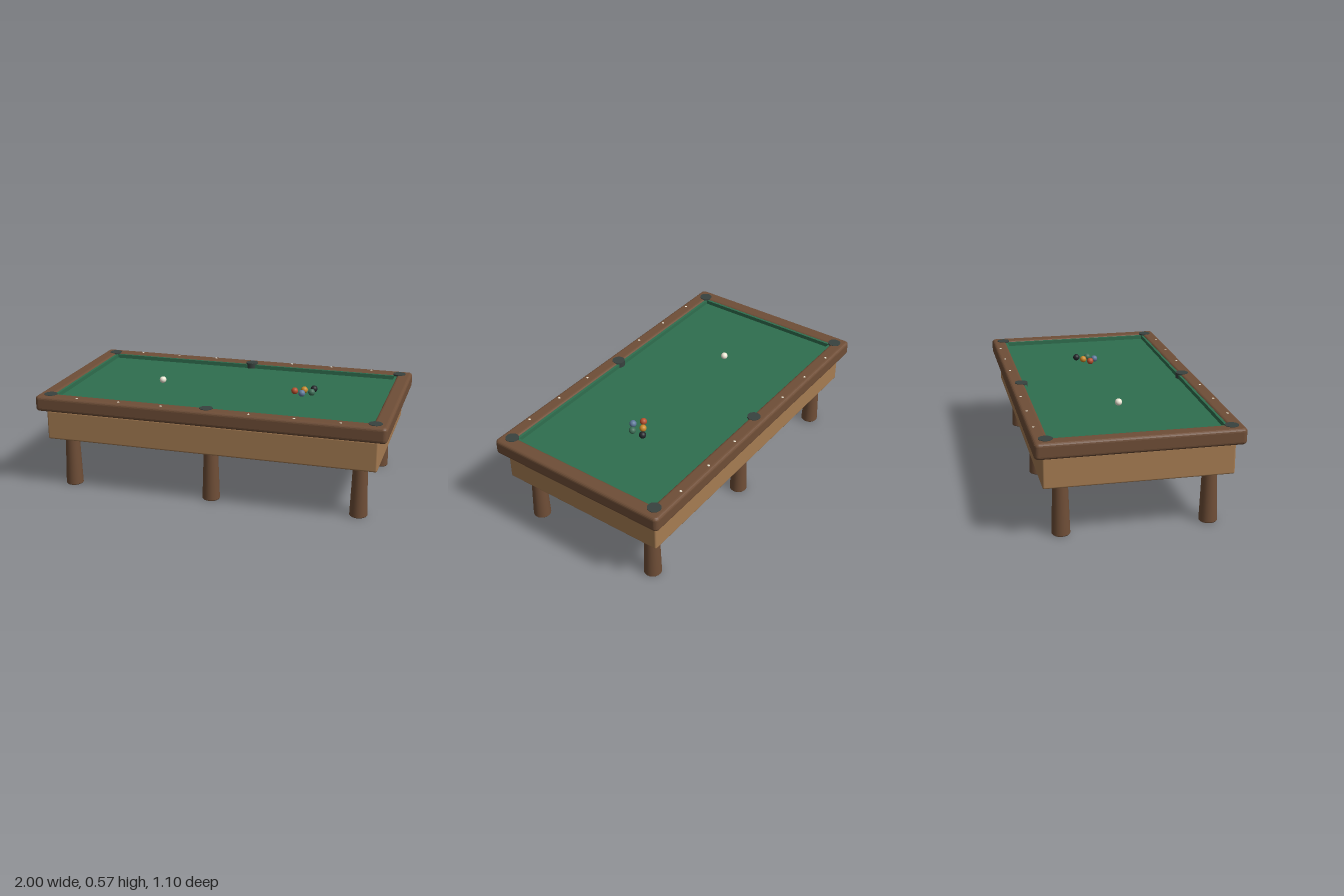
import * as THREE from 'three';
import { RoundedBoxGeometry } from 'three/addons/geometries/RoundedBoxGeometry.js';

const mat = (color) => new THREE.MeshStandardMaterial({ color });

// Rounded rectangle outline with half sizes w and h
function roundedRect(path, w, h, r) {
  path.absarc(w - r, h - r, r, 0, Math.PI / 2);
  path.absarc(-w + r, h - r, r, Math.PI / 2, Math.PI);
  path.absarc(-w + r, -h + r, r, Math.PI, Math.PI * 1.5);
  path.absarc(w - r, -h + r, r, Math.PI * 1.5, Math.PI * 2);
  path.closePath();
  return path;
}

export function createModel() {
  const table = new THREE.Group();
  table.name = 'poolTable';
  const darkWood = mat(0x6f4e37), lightWood = mat(0xa67c52), felt = mat(0x2f6f4f);
  const pocketMat = mat(0x38423f), ivory = mat(0xf0ead8);

  function add(name, geometry, material, x, y, z) {
    const mesh = new THREE.Mesh(geometry, material);
    mesh.name = name;
    mesh.position.set(x, y, z);
    table.add(mesh);
    return mesh;
  }

  // Cabinet under the playing surface
  add('cabinet', new RoundedBoxGeometry(1.9, 0.17, 1.01, 3, 0.01), lightWood, 0, 0.385, 0);

  // Cloth-covered bed
  add('bed', new THREE.BoxGeometry(1.83, 0.067, 0.94), felt, 0, 0.5015, 0);

  // Wooden rail frame with softened edges
  const bevel = 0.018;
  const outline = roundedRect(new THREE.Shape(), 1 - bevel, 0.55 - bevel, 0.008);
  const hx = 0.907 + 0.006, hz = 0.46 + 0.006;
  outline.holes.push(new THREE.Path([
    [-hx - bevel, -hz - bevel], [-hx - bevel, hz + bevel],
    [hx + bevel, hz + bevel], [hx + bevel, -hz - bevel],
  ].map(([x, y]) => new THREE.Vector2(x, y))));
  const frame = new THREE.ExtrudeGeometry(outline, {
    depth: 0.088 - 2 * bevel, bevelEnabled: true, bevelSize: bevel,
    bevelThickness: bevel, bevelSegments: 4, curveSegments: 5,
  });
  frame.rotateX(-Math.PI / 2);
  add('railFrame', frame, darkWood, 0, 0.477 + bevel, 0);

  // Cushions lining the inner faces of the rails
  for (const s of [-1, 1]) {
    add('longCushion', new THREE.BoxGeometry(1.83, 0.055, 0.018), felt, 0, 0.531, s * 0.465);
    add('endCushion', new THREE.BoxGeometry(0.018, 0.055, 0.93), felt, s * 0.912, 0.531, 0);
  }

  const legGeo = new THREE.LatheGeometry([
    [0, 0], [0.046, 0], [0.046, 0], [0.05, 0.005], [0.05, 0.005], [0.04, 0.305],
  ].map(([r, y]) => new THREE.Vector2(r, y)), 24);
  const pocketGeo = new THREE.CylinderGeometry(0.037, 0.037, 0.037, 24);
  const sightGeo = new THREE.CylinderGeometry(0.007, 0.007, 0.004, 12);

  // Legs, pockets and sight markers along both long sides
  for (const s of [-1, 1]) {
    for (const k of [-1, 0, 1]) {
      add('leg', legGeo, darkWood, k * 0.846, 0, s * 0.4);
      add('pocket', pocketGeo, pocketMat, k * 0.928, 0.549, s * 0.483);
    }
    for (const x of [-0.75, -0.5, -0.25, 0.25, 0.5, 0.75]) {
      add('sightMarker', sightGeo, ivory, x, 0.5645, s * 0.519);
    }
  }

  // Balls: cue ball and the small rack
  const ballGeo = new THREE.SphereGeometry(0.02, 20, 14);
  const balls = [
    ['cueBall', -0.425, 0, 0xf0ead8],
    ['redBall', 0.385, 0, 0xb5502e],
    ['yellowBall', 0.435, -0.035, 0xc98a2b],
    ['blueBall', 0.435, 0.035, 0x5f7a9c],
    ['greenBall', 0.485, 0, 0x3f6f58],
    ['blackBall', 0.485, -0.07, 0x22262a],
  ];
  for (const [name, x, z, color] of balls) add(name, ballGeo, mat(color), x, 0.555, z);

  return table;
}
